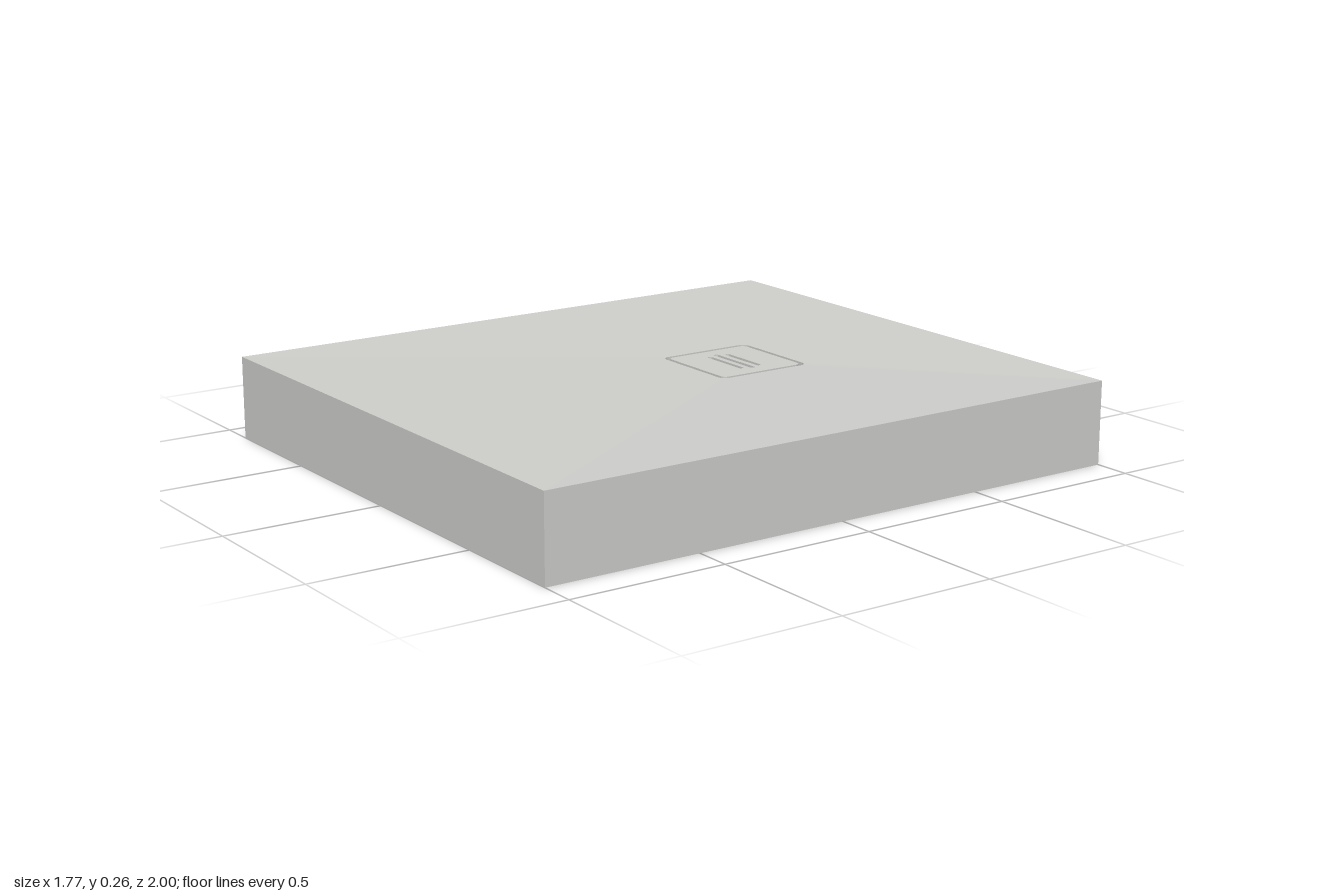
import * as THREE from 'three';

const W = 1.77, D = 2, H = 0.265;   // tray size
const DRAIN_Z = -0.27;              // drain centre
const LIP = 0.035, CEILING = 0.12;  // rim thickness, underside height

// Rounded rectangle loop at height y, running from +x toward +z
function loop(w, d, y, r = 0, cz = 0, steps = 4) {
  const pts = [];
  [[1, 1], [-1, 1], [-1, -1], [1, -1]].forEach(([sx, sz], q) => {
    for (let i = 0; i <= steps; i++) {
      const a = (q + i / steps) * Math.PI / 2;
      pts.push([sx * (w / 2 - r) + r * Math.cos(a), y, cz + sz * (d / 2 - r) + r * Math.sin(a)]);
    }
  });
  return pts;
}

// Skin successive loops with flat faces
function loft(loops) {
  const pos = [];
  for (let k = 0; k < loops.length - 1; k++) {
    const a = loops[k], b = loops[k + 1], n = a.length;
    for (let i = 0; i < n; i++) {
      const j = (i + 1) % n;
      pos.push(...a[i], ...b[i], ...b[j], ...a[i], ...b[j], ...a[j]);
    }
  }
  const g = new THREE.BufferGeometry();
  g.setAttribute('position', new THREE.Float32BufferAttribute(pos, 3));
  g.computeVertexNormals();
  return g;
}

// Shape or path through the x and z of a loop
const outline = (Type, pts) => new Type(pts.map(p => new THREE.Vector2(p[0], p[2])));

// Horizontal slab cut from a shape, between heights y0 and y1
function slab(shape, y0, y1) {
  const g = new THREE.ExtrudeGeometry(shape, { depth: y1 - y0, bevelEnabled: false, curveSegments: 48 });
  return g.rotateX(Math.PI / 2).translate(0, y1, 0);
}

export function createModel() {
  const grey = new THREE.MeshStandardMaterial({ color: 0xcfcfcc });
  grey.name = 'tray grey';
  const beige = new THREE.MeshStandardMaterial({ color: 0xd6cfb2 });
  beige.name = 'underside beige';

  const model = new THREE.Group();
  model.name = 'showerTray';
  const add = (name, geometry, material) => {
    const m = new THREE.Mesh(geometry, material);
    m.name = name;
    model.add(m);
    return m;
  };

  // Tray shell: rim, sides, top falling gently to the square drain recess
  add('trayShell', loft([
    loop(W - 2 * LIP, D - 2 * LIP, 0),
    loop(W, D, 0),
    loop(W, D, H),
    loop(0.326, 0.326, 0.25, 0.025, DRAIN_Z),
    loop(0.326, 0.326, 0.23, 0.025, DRAIN_Z),
    loop(0, 0, 0.23, 0, DRAIN_Z),
  ]), grey);

  // Hollow underside: ceiling and inner walls
  add('undersideLining', loft([
    loop(0, 0, CEILING),
    loop(W - 2 * LIP, D - 2 * LIP, CEILING),
    loop(W - 2 * LIP, D - 2 * LIP, 0),
  ]), beige);

  // Support block with the round drain opening
  const block = outline(THREE.Shape, loop(W - 0.265, D - 0.28, 0));
  const opening = new THREE.Path();
  opening.absarc(0, DRAIN_Z, 0.333, 0, Math.PI * 2, true);
  block.holes.push(opening);
  add('supportBlock', slab(block, 0.004, CEILING), grey);

  // Outlet disc in the ceiling of the opening
  const outlet = add('outletDisc', new THREE.CylinderGeometry(0.1, 0.1, 0.008, 40), beige);
  outlet.position.set(0, CEILING - 0.003, DRAIN_Z);

  // Drain cover with three rounded slots
  const cover = outline(THREE.Shape, loop(0.298, 0.298, 0, 0.018, DRAIN_Z));
  [[-0.034, 0.176], [0, 0.204], [0.034, 0.176]].forEach(([dz, w]) => {
    cover.holes.push(outline(THREE.Path, loop(w, 0.016, 0, 0.0075, DRAIN_Z + dz)));
  });
  add('drainCover', slab(cover, 0.23, 0.25), grey);

  return model;
}
